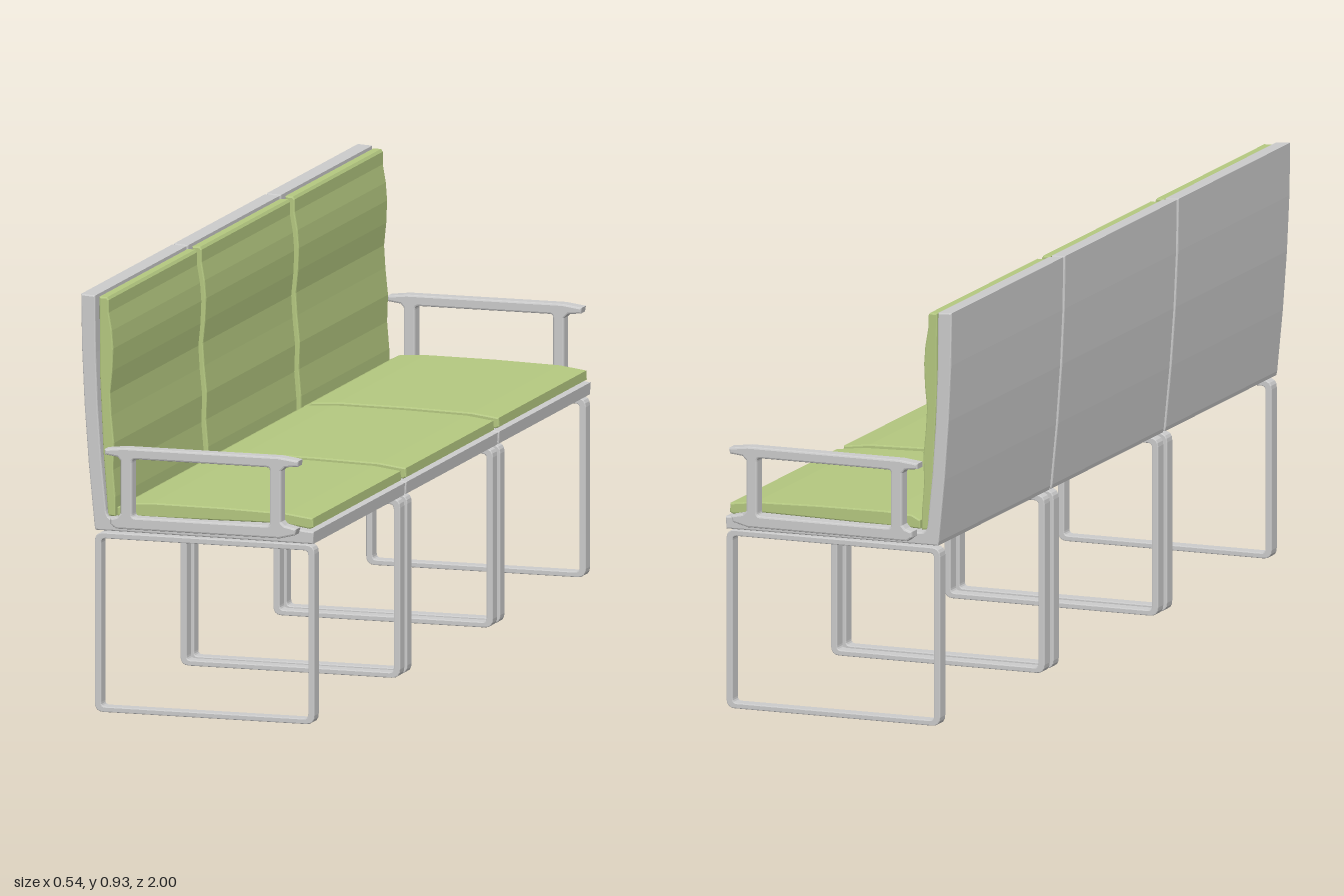
import * as THREE from 'three';

const grey = new THREE.MeshStandardMaterial({ color: 0xcccccc });
const green = new THREE.MeshStandardMaterial({ color: 0xb4c880 });

const points = (list) => list.map(([x, y]) => new THREE.Vector2(x, y));

// Rounded rectangle outline from x0,y0 to x1,y1
function roundedRect(target, x0, y0, x1, y1, r) {
  target.moveTo(x0 + r, y0).lineTo(x1 - r, y0);
  target.quadraticCurveTo(x1, y0, x1, y0 + r).lineTo(x1, y1 - r);
  target.quadraticCurveTo(x1, y1, x1 - r, y1).lineTo(x0 + r, y1);
  target.quadraticCurveTo(x0, y1, x0, y1 - r).lineTo(x0, y0 + r);
  target.quadraticCurveTo(x0, y0, x0 + r, y0);
  return target;
}

// Side profile extruded along z, centred on z, with softened edges
function slab(name, shape, width, z, material, bevel) {
  const geometry = new THREE.ExtrudeGeometry(shape, {
    depth: width - 2 * bevel, curveSegments: 4,
    bevelEnabled: true, bevelThickness: bevel, bevelSize: bevel, bevelOffset: -bevel, bevelSegments: 2,
  });
  geometry.translate(0, 0, z - width / 2 + bevel);
  const mesh = new THREE.Mesh(geometry, material);
  mesh.name = name;
  return mesh;
}

// L-shaped seat and back shell with a gently curved back
function shellShape() {
  const s = new THREE.Shape();
  s.moveTo(-0.237, 0.406).lineTo(0.266, 0.403).lineTo(0.268, 0.43).lineTo(0.2, 0.436);
  s.lineTo(-0.198, 0.432).quadraticCurveTo(-0.21, 0.434, -0.212, 0.45);
  s.quadraticCurveTo(-0.238, 0.67, -0.237, 0.928);
  s.lineTo(-0.27, 0.93).quadraticCurveTo(-0.27, 0.7, -0.239, 0.415);
  s.closePath();
  return s;
}

// Back cushion: wavy front with a shallow crease between padded bands
const backCushionShape = new THREE.Shape(points([
  [-0.211, 0.437], [-0.194, 0.437], [-0.194, 0.48], [-0.199, 0.54], [-0.197, 0.6], [-0.203, 0.66],
  [-0.206, 0.71], [-0.201, 0.76], [-0.199, 0.81], [-0.202, 0.85], [-0.209, 0.89], [-0.209, 0.918],
  [-0.213, 0.924], [-0.231, 0.924], [-0.23, 0.75], [-0.222, 0.58],
]));

const seatCushionShape = new THREE.Shape(points([
  [-0.19, 0.438], [0.19, 0.443], [0.255, 0.434], [0.263, 0.438], [0.262, 0.458], [0.2, 0.466],
  [0.05, 0.47], [-0.11, 0.471], [-0.17, 0.467], [-0.19, 0.457],
]));

// Closed sled leg: a rounded rectangular loop
function legShape() {
  const s = roundedRect(new THREE.Shape(), -0.24, 0, 0.268, 0.4, 0.02);
  s.holes.push(roundedRect(new THREE.Path(), -0.225, 0.012, 0.253, 0.387, 0.01));
  return s;
}

// Armrest: grip, two posts and mounting rail in one piece
function armrestShape() {
  const s = new THREE.Shape(points([
    [-0.178, 0.418], [0.2, 0.418], [0.236, 0.427], [0.24, 0.441], [0.212, 0.447], [0.204, 0.455],
    [0.204, 0.568], [0.213, 0.577], [0.243, 0.58], [0.245, 0.593], [0.2, 0.599], [-0.16, 0.599],
    [-0.204, 0.594], [-0.203, 0.582], [-0.174, 0.578], [-0.167, 0.57], [-0.167, 0.453],
    [-0.174, 0.445], [-0.19, 0.44], [-0.19, 0.427],
  ]));
  s.holes.push(roundedRect(new THREE.Path(), -0.14, 0.445, 0.178, 0.575, 0.008));
  return s;
}

export function createModel() {
  const group = new THREE.Group();
  group.name = 'bench';

  // Three seats side by side, each with a pair of sled legs
  for (const z of [-0.645, 0, 0.645]) {
    const seat = new THREE.Group();
    seat.name = 'seatUnit';
    seat.add(
      slab('shell', shellShape(), 0.637, z, grey, 0.003),
      slab('backCushion', backCushionShape, 0.616, z, green, 0.003),
      slab('seatCushion', seatCushionShape, 0.612, z, green, 0.003),
    );
    for (const side of [-1, 1]) {
      seat.add(slab('sledLeg', legShape(), 0.032, z + side * 0.297, grey, 0.002));
    }
    group.add(seat);
  }

  // Armrests at the two ends
  for (const side of [-1, 1]) {
    group.add(slab('armrest', armrestShape(), 0.034, side * 0.983, grey, 0.004));
  }
  return group;
}
